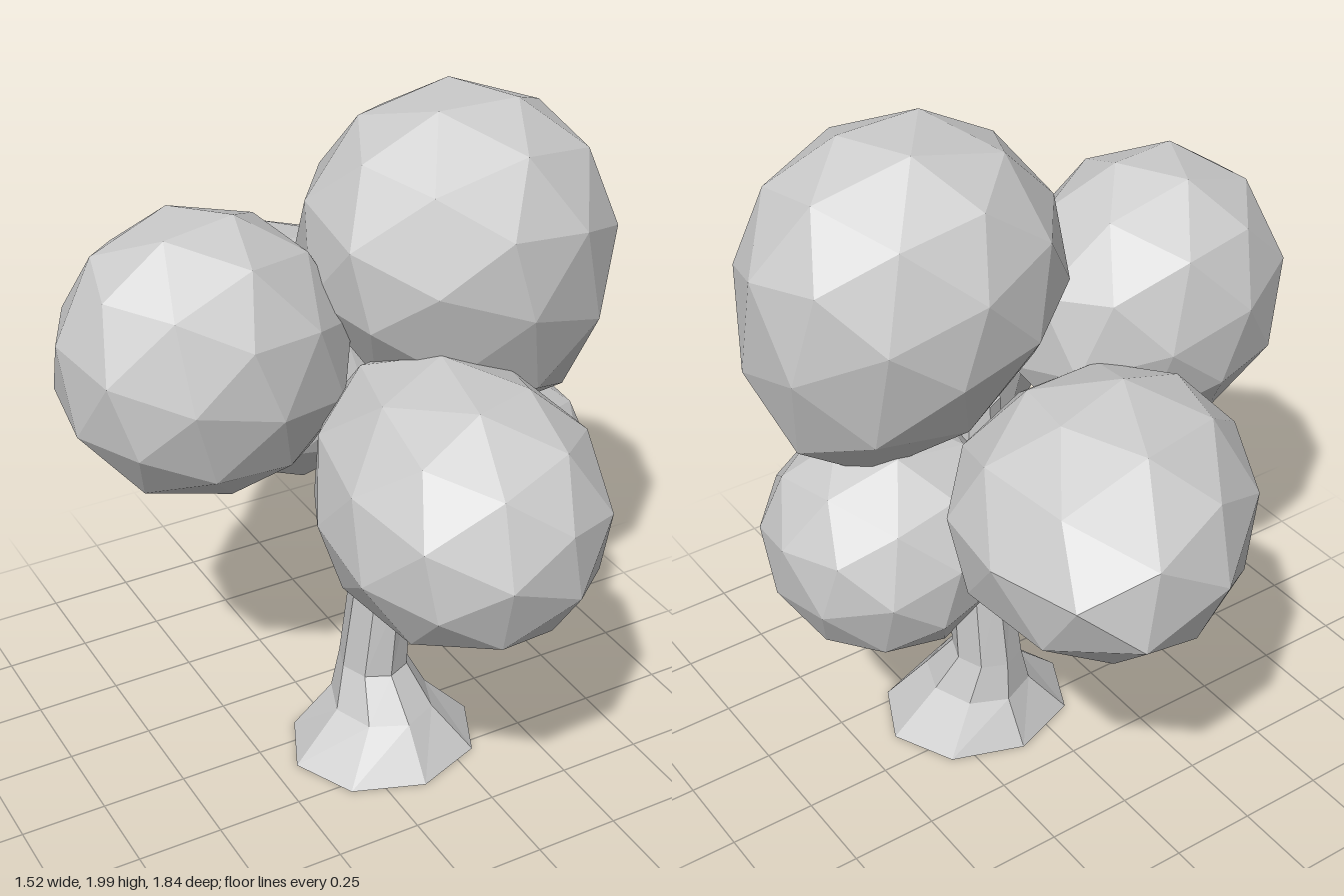
import * as THREE from 'three';

const material = new THREE.MeshStandardMaterial({ color: 0xcccccc, flatShading: true });

// Faceted foliage ball, turned by "spin"; the side facing "tip" is drawn out along it.
function foliage(name, centre, radii, tip, spin) {
  const geometry = new THREE.IcosahedronGeometry(1, 1);
  const turn = new THREE.Euler(...spin);
  const scale = new THREE.Vector3(...radii);
  const pull = new THREE.Vector3(...tip);
  const direction = pull.clone().normalize();
  const position = geometry.attributes.position;
  const v = new THREE.Vector3();
  for (let i = 0; i < position.count; i++) {
    v.fromBufferAttribute(position, i).applyEuler(turn);
    const t = Math.max(0, v.dot(direction));
    v.multiply(scale).addScaledVector(pull, t * t);
    position.setXYZ(i, v.x, v.y, v.z);
  }
  geometry.computeVertexNormals();
  const mesh = new THREE.Mesh(geometry, material);
  mesh.name = name;
  mesh.position.set(...centre);
  return mesh;
}

// Eight-sided trunk, flared at the foot: rings of [y, centre x, centre z, radius x, radius z]
function trunk() {
  const rings = [
    [0, 0.11, 0.105, 0.29, 0.255],
    [0.14, 0.115, 0.085, 0.15, 0.165],
    [0.26, 0.108, 0.045, 0.1, 0.11],
    [0.55, 0.12, 0.065, 0.085, 0.105],
    [1.15, 0.13, 0.07, 0.075, 0.09],
  ];
  const last = rings.length - 1;
  const geometry = new THREE.CylinderGeometry(1, 1, 1, 8, last);
  const position = geometry.attributes.position;
  for (let i = 0; i < position.count; i++) {
    const [y, cx, cz, rx, rz] = rings[Math.round((position.getY(i) + 0.5) * last)];
    position.setXYZ(i, cx + position.getX(i) * rx, y, cz + position.getZ(i) * rz);
  }
  geometry.computeVertexNormals();
  const mesh = new THREE.Mesh(geometry, material);
  mesh.name = 'trunk';
  return mesh;
}

export function createModel() {
  const tree = new THREE.Group();
  tree.name = 'tree';
  tree.add(
    trunk(),
    foliage('topFoliage', [0.33, 1.6, 0.07], [0.44, 0.41, 0.4], [0.06, -0.15, 0.01], [0.2, 0, 0.25]),
    foliage('rightFoliage', [-0.38, 1.37, -0.04], [0.395, 0.4, 0.35], [0.05, -0.02, 0], [0.15, 0.2, 0.3]),
    foliage('frontFoliage', [0.095, 1.06, 0.53], [0.38, 0.365, 0.41], [0, 0.04, -0.12], [0.25, 0.3, 0.1]),
    foliage('backFoliage', [0.07, 1.06, -0.45], [0.425, 0.365, 0.38], [0.06, 0.01, -0.13], [0, 0.2, 0.15]),
    foliage('lowerLeftFoliage', [0.45, 0.835, 0.035], [0.325, 0.325, 0.35], [-0.03, 0.02, 0], [0.2, 0.1, 0.25]),
  );
  return tree;
}
